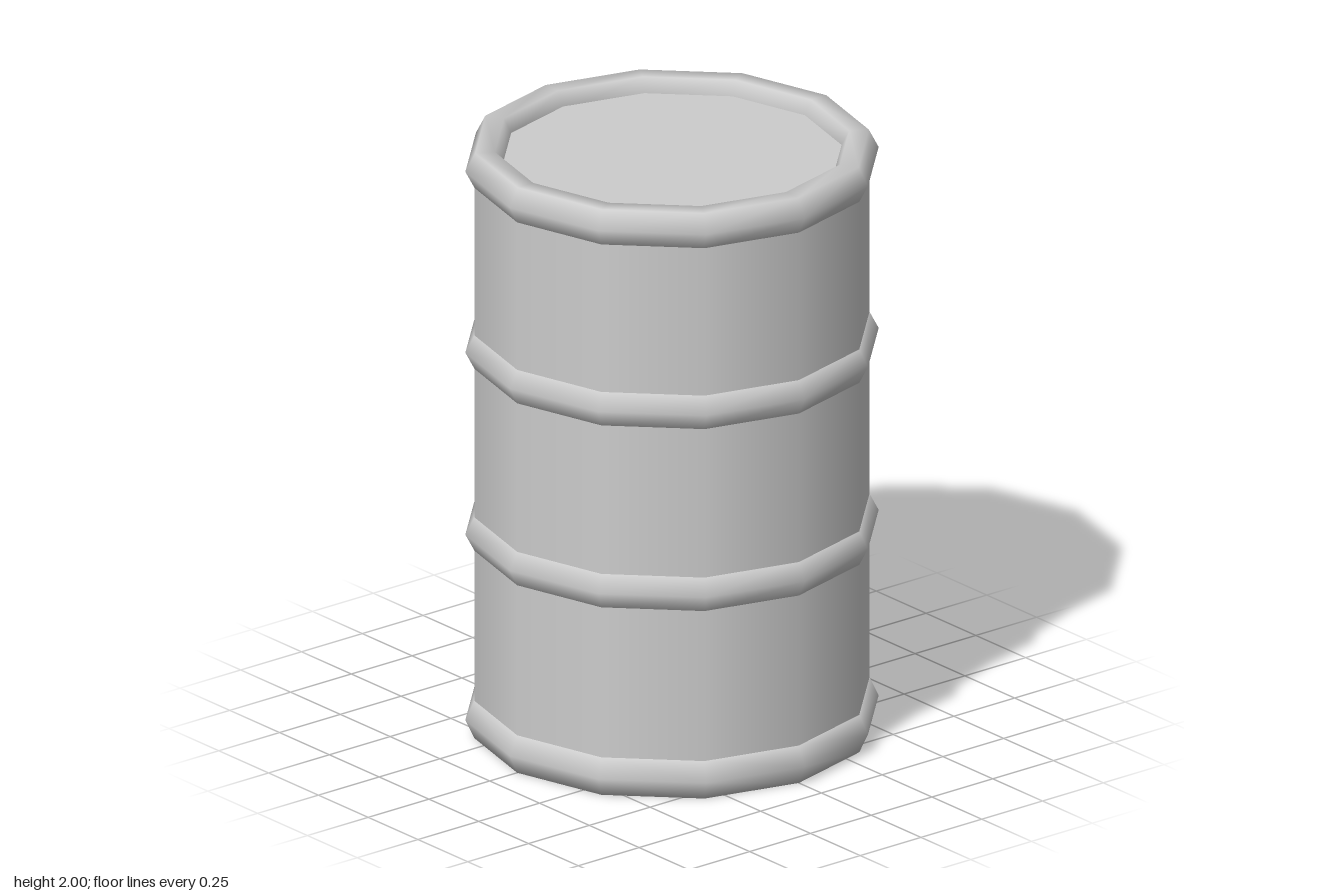
import * as THREE from 'three';

const SIDES = 12;
const RADIUS = 0.637; // barrel wall
const HALF = 0.0615; // half height of a hoop

export function createModel() {
  const group = new THREE.Group();
  const steel = new THREE.MeshStandardMaterial({ color: 0xcccccc });
  steel.name = 'grey steel';

  const add = (name, geometry, y) => {
    const mesh = new THREE.Mesh(geometry, steel);
    mesh.name = name;
    mesh.position.y = y;
    group.add(mesh);
  };

  // Smooth twelve-sided wall, its ends hidden inside the rims
  add('wall', new THREE.CylinderGeometry(RADIUS, RADIUS, 1.88, SIDES, 1, true), 1.0);

  // Hexagonal hoops: the top rim and two around the wall
  const hoop = new THREE.TorusGeometry(0.603, 0.0635, 6, SIDES);
  hoop.rotateX(Math.PI / 2);
  hoop.scale(1, HALF / (0.0635 * Math.sin(Math.PI / 3)), 1);
  add('topRim', hoop, 2 - HALF);
  add('upperHoop', hoop, 1.32);
  add('lowerHoop', hoop, 0.698);

  // Bottom rim and base in one softly shaded sweep
  const profile = [[0, 0], [RADIUS, 0], [0.6665, 0.064], [RADIUS, 0.128], [0.57, 0.128]];
  add('baseAndBottomRim', new THREE.LatheGeometry(
    profile.map(([x, y]) => new THREE.Vector2(x, y)), SIDES), 0);

  // Flat lid sunk inside the top rim
  const lid = new THREE.CircleGeometry(0.59, SIDES);
  lid.rotateX(-Math.PI / 2);
  add('lid', lid, 1.953);

  return group;
}
